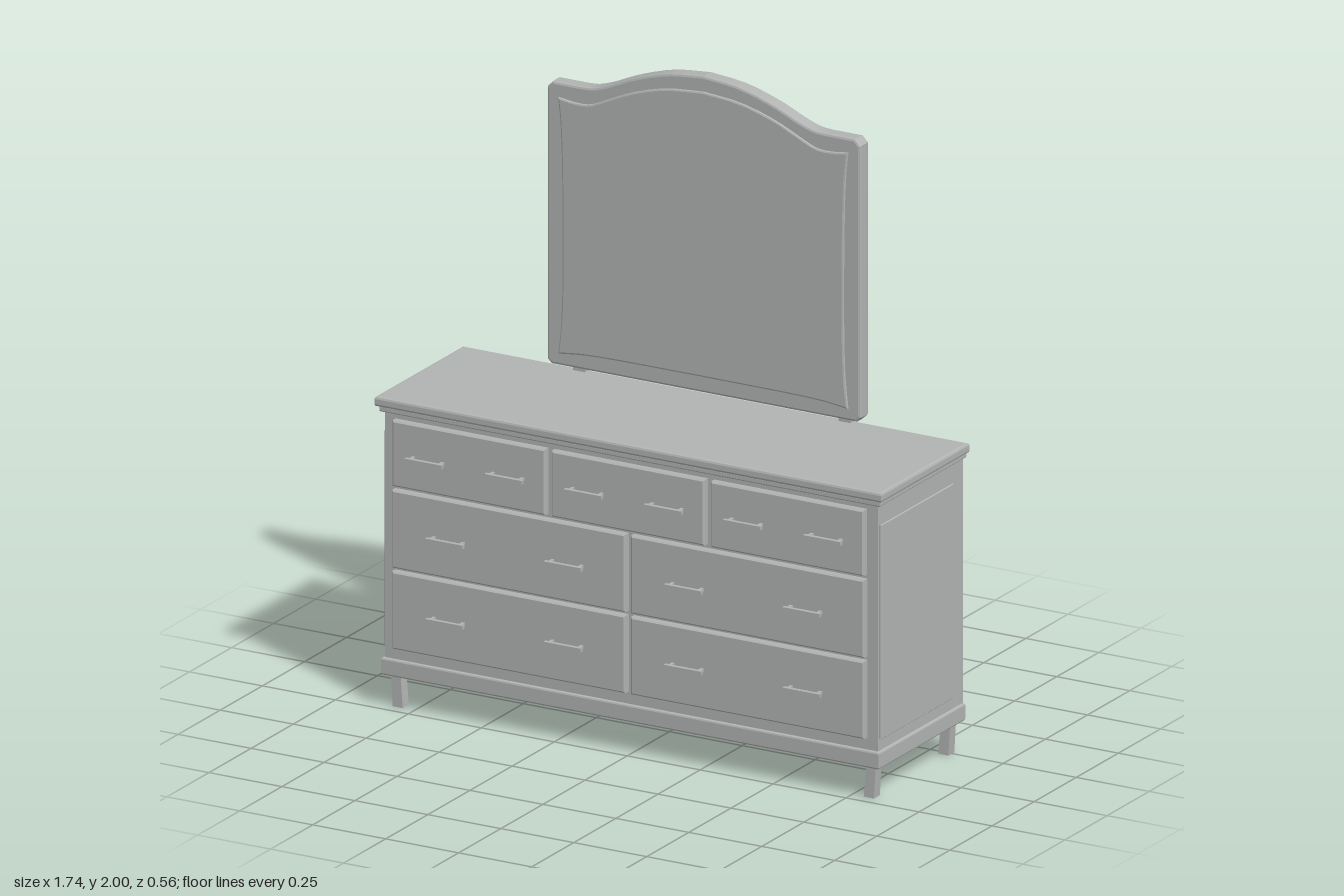
import * as THREE from 'three';

export function createModel() {
  const root = new THREE.Group();
  root.name = 'dresserWithMirror';
  const grey = new THREE.MeshStandardMaterial({ color: 0xb2b4b3 });
  grey.name = 'plain grey';

  function add(name, geometry, parent = root) {
    const mesh = new THREE.Mesh(geometry, grey);
    mesh.name = name;
    parent.add(mesh);
    return mesh;
  }

  // Box given by its limits on each axis
  function box(name, x0, x1, y0, y1, z0, z1, parent) {
    const mesh = add(name, new THREE.BoxGeometry(x1 - x0, y1 - y0, z1 - z0), parent);
    mesh.position.set((x0 + x1) / 2, (y0 + y1) / 2, (z0 + z1) / 2);
    return mesh;
  }

  // Flat outline extruded from z0 to z1, with edges bevelled inwards
  function plate(name, shape, z0, z1, bevel, parent, segments = 1) {
    const geometry = new THREE.ExtrudeGeometry(shape, {
      depth: z1 - z0 - 2 * bevel, curveSegments: 6, bevelEnabled: bevel > 0,
      bevelSize: bevel, bevelThickness: bevel, bevelOffset: -bevel, bevelSegments: segments,
    });
    const mesh = add(name, geometry, parent);
    mesh.position.z = z0 + bevel;
    return mesh;
  }

  const rect = (x0, x1, y0, y1) => new THREE.Shape(
    [[x0, y0], [x1, y0], [x1, y1], [x0, y1]].map(([x, y]) => new THREE.Vector2(x, y)));

  // Horizontal board with softened edges, flush at the back
  function board(name, halfWidth, y0, y1, front, bevel) {
    const mesh = plate(name, rect(-halfWidth, halfWidth, -front, 0.279), y0, y1, bevel, root, 2);
    mesh.rotation.x = -Math.PI / 2;
    mesh.position.set(0, y0 + bevel, 0);
  }

  // Carcass
  box('body', -0.845, 0.845, 0.13, 0.94, -0.279, 0.225);
  board('plinth', 0.853, 0.1, 0.155, 0.235, 0.006);
  board('topMoulding', 0.857, 0.928, 0.947, 0.236, 0.004);
  board('top', 0.868, 0.945, 0.977, 0.247, 0.008);

  // Raised side panels
  for (const s of [-1, 1]) {
    const panel = plate('sidePanel', rect(-0.215, 0.215, 0.19, 0.865), 0, 0.006, 0.002);
    panel.rotation.y = s * Math.PI / 2;
    panel.position.x = s * 0.847;
  }

  // Splayed legs, leaning in slightly and wider at the foot
  for (const sx of [-1, 1]) for (const z of [0.196, -0.246]) {
    const g = new THREE.BoxGeometry(0.03, 0.102, 0.03);
    const p = g.attributes.position;
    for (let i = 0; i < p.count; i++) {
      const foot = p.getY(i) < 0;
      p.setX(i, p.getX(i) * (foot ? 1.15 : 1.1) + sx * (foot ? -0.003 : 0.004));
      p.setZ(i, p.getZ(i) * (foot ? 1.2 : 1.15));
    }
    g.computeVertexNormals();
    add('leg', g).position.set(sx * 0.81, 0.051, z);
  }

  // Drawers and bar handles
  function drawer(x0, x1, y0, y1, handleXs, handleY) {
    const group = new THREE.Group();
    group.name = 'drawer';
    root.add(group);
    plate('drawerFront', rect(x0, x1, y0, y1), 0.215, 0.247, 0.005, group);
    for (const x of handleXs) {
      box('handleBar', x - 0.064, x + 0.064, handleY - 0.006, handleY + 0.006, 0.267, 0.28, group);
      for (const s of [-1, 1]) {
        const px = x + s * 0.05;
        box('handlePost', px - 0.005, px + 0.005, handleY - 0.005, handleY + 0.005, 0.245, 0.269, group);
      }
    }
  }
  for (const i of [-1, 0, 1]) {
    const c = i * 0.546;
    drawer(c - 0.262, c + 0.262, 0.705, 0.912, [c - 0.137, c + 0.137], 0.807);
  }
  for (const [y0, y1, hy] of [[0.448, 0.693, 0.568], [0.193, 0.437, 0.315]]) {
    for (const s of [-1, 1]) {
      const c = s * 0.409;
      drawer(c - 0.4, c + 0.4, y0, y1, [c - 0.203, c + 0.203], hy);
    }
  }

  // Mirror outlines: curved runs on the right half, reflected to close the loop
  function mirrored(runs) {
    const half = [];
    for (const run of runs) {
      const pts = run.map(([x, y]) => new THREE.Vector3(x, y, 0));
      const out = pts.length > 2 ? new THREE.CatmullRomCurve3(pts).getPoints(16) : pts;
      for (const q of out) {
        const last = half[half.length - 1];
        if (!last || last.distanceTo(q) > 1e-4) half.push(q);
      }
    }
    const left = half.slice(1, -1).reverse().map((q) => new THREE.Vector3(-q.x, q.y, 0));
    return [...half, ...left].map((q) => new THREE.Vector2(q.x, q.y));
  }
  const outer = mirrored([
    [[0, 2], [0.12, 1.987], [0.24, 1.951], [0.33, 1.912], [0.38, 1.896], [0.42, 1.893]],
    [[0.42, 1.893], [0.518, 1.893]], [[0.518, 1.893], [0.537, 1.873]],
    [[0.537, 1.873], [0.537, 1.018]], [[0.537, 1.018], [0.522, 1.003]], [[0.522, 1.003], [0, 1.003]],
  ]);
  const beadOuter = mirrored([
    [[0, 1.952], [0.13, 1.939], [0.25, 1.904], [0.33, 1.868], [0.39, 1.843], [0.44, 1.841], [0.497, 1.848]],
    [[0.497, 1.848], [0.488, 1.75], [0.482, 1.45], [0.486, 1.15], [0.497, 1.04]],
    [[0.497, 1.04], [0.4, 1.05], [0, 1.054]],
  ]);
  const beadInner = mirrored([
    [[0, 1.926], [0.13, 1.913], [0.25, 1.879], [0.33, 1.844], [0.39, 1.821], [0.43, 1.823], [0.474, 1.832]],
    [[0.474, 1.832], [0.466, 1.75], [0.46, 1.45], [0.463, 1.15], [0.472, 1.064]],
    [[0.472, 1.064], [0.4, 1.074], [0, 1.079]],
  ]);
  const ring = (outline, hole) => {
    const shape = new THREE.Shape(outline);
    shape.holes.push(new THREE.Path(hole));
    return shape;
  };

  const mirror = new THREE.Group();
  mirror.name = 'mirror';
  root.add(mirror);
  plate('mirrorFrame', ring(outer, beadOuter), -0.254, -0.203, 0.008, mirror, 2);
  plate('mirrorBead', ring(beadOuter, beadInner), -0.26, -0.197, 0.006, mirror, 2);
  plate('mirrorGlass', new THREE.Shape(beadOuter), -0.245, -0.215, 0, mirror);
  for (const s of [-1, 1]) {
    box('mirrorSupport', s * 0.455 - 0.02, s * 0.455 + 0.02, 0.97, 1.262, -0.28, -0.252, mirror);
  }
  return root;
}
